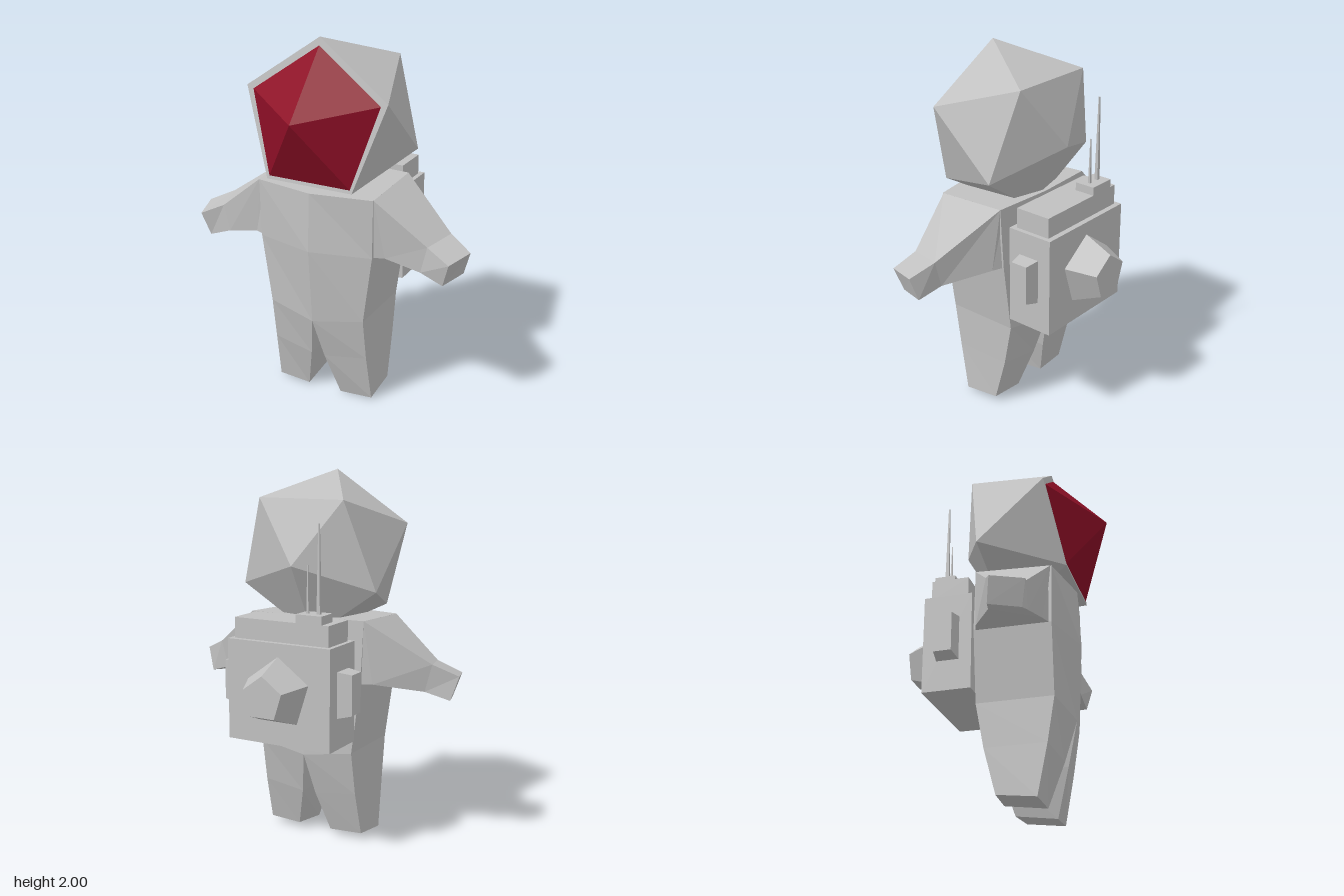
import * as THREE from 'three';
import { ConvexGeometry } from 'three/addons/geometries/ConvexGeometry.js';

const grey = new THREE.MeshStandardMaterial({ color: 0xc0c0c0 });
grey.name = 'suit grey';
const red = new THREE.MeshStandardMaterial({ color: 0x8e0f26 });
red.name = 'visor red';

// Faceted geometry from a list of triangles
function faceted(tris) {
  const g = new THREE.BufferGeometry();
  g.setAttribute('position', new THREE.Float32BufferAttribute(tris.flat(2), 3));
  g.computeVertexNormals();
  return g;
}

// Skin a row of four-cornered cross-sections and close both ends
function loft(sections, side) {
  const s = sections.map((ring) => (side > 0 ? ring : ring.map(([x, y, z]) => [-x, y, z]).reverse()));
  const tris = [];
  const quad = (a, b, c, d) => tris.push([a, b, c], [a, c, d]);
  for (let i = 0; i < s.length - 1; i++) {
    for (let k = 0; k < 4; k++) {
      const n = (k + 1) % 4;
      quad(s[i][k], s[i + 1][k], s[i + 1][n], s[i][n]);
    }
  }
  quad(...s[0]);
  quad(...[...s[s.length - 1]].reverse());
  return faceted(tris);
}

export function createModel() {
  const model = new THREE.Group();
  model.name = 'astronaut';
  const add = (name, geometry, material = grey, parent = model) => {
    const mesh = new THREE.Mesh(geometry, material);
    mesh.name = name;
    parent.add(mesh);
    return mesh;
  };
  const box = (name, parent, x0, x1, y0, y1, z0, z1) => {
    const g = new THREE.BoxGeometry(x1 - x0, y1 - y0, z1 - z0);
    g.translate((x0 + x1) / 2, (y0 + y1) / 2, (z0 + z1) / 2);
    return add(name, g, grey, parent);
  };

  // Half torso running down into a leg: inner front, outer front, outer back, inner back
  const bodySections = [
    [[0, 1.22, 0.37], [0.335, 1.22, 0.31], [0.34, 1.24, -0.1], [0, 1.24, -0.12]],
    [[0, 0.9, 0.385], [0.33, 0.9, 0.305], [0.33, 0.91, -0.11], [0, 0.91, -0.13]],
    [[0, 0.48, 0.35], [0.278, 0.52, 0.3], [0.278, 0.52, -0.11], [0, 0.48, -0.135]],
    [[0.04, 0.25, 0.29], [0.28, 0.28, 0.262], [0.28, 0.28, -0.065], [0.04, 0.25, -0.075]],
    [[0.1, 0, 0.215], [0.288, 0.01, 0.21], [0.285, 0.035, 0], [0.1, 0.03, -0.01]],
  ];
  // Arm: front top, back top, back bottom, front bottom
  const armSections = [
    [[0.3, 1.22, 0.305], [0.3, 1.24, -0.1], [0.3, 0.905, -0.11], [0.3, 0.9, 0.3]],
    [[0.335, 1.22, 0.305], [0.34, 1.24, -0.1], [0.385, 0.905, -0.08], [0.385, 0.9, 0.27]],
    [[0.61, 1.0, 0.25], [0.66, 1.015, 0.06], [0.62, 0.865, 0.06], [0.575, 0.855, 0.25]],
    [[0.74, 0.94, 0.283], [0.79, 0.955, 0.115], [0.75, 0.825, 0.095], [0.7, 0.81, 0.255]],
  ];
  for (const side of [1, -1]) {
    const label = side > 0 ? 'left' : 'right';
    add(label + 'BodyAndLeg', loft(bodySections, side));
    add(label + 'Arm', loft(armSections, side));
  }

  // Helmet: tilted twenty-sided ball, cut flat at the front
  const rimZ = (y) => 0.24 + (2 - y) * 0.176;
  const helmet = [[0, 2, 0.24], [0, 1.52, -0.26], [0, 1.12, -0.03]];
  for (const s of [1, -1]) {
    helmet.push([0.4 * s, 1.72, rimZ(1.72)], [0.245 * s, 1.26, rimZ(1.26)],
      [0.25 * s, 1.86, -0.16], [0.4 * s, 1.39, -0.08]);
  }
  add('helmet', new ConvexGeometry(helmet.map((p) => new THREE.Vector3(...p))));

  // Visor: five-sided pyramid inside the rim
  const tip = [0, 1.63, 0.55];
  const rim = [[0, 1.96], [-0.365, 1.705], [-0.235, 1.275], [0.235, 1.275], [0.365, 1.705]]
    .map(([x, y]) => [x, y, rimZ(y) - 0.002]);
  add('visor', faceted(rim.map((p, i) => [p, rim[(i + 1) % 5], tip])), red);

  // Backpack
  const pack = new THREE.Group();
  pack.name = 'backpack';
  model.add(pack);
  box('packBody', pack, -0.305, 0.305, 0.6, 1.14, -0.395, -0.13);
  box('packLid', pack, -0.28, 0.28, 1.14, 1.25, -0.365, -0.16);
  box('antennaBase', pack, -0.24, -0.09, 1.25, 1.295, -0.365, -0.25);

  // Antennas: a tall one and a short one
  for (const [x, top, r] of [[-0.195, 1.75, 0.014], [-0.13, 1.54, 0.009]]) {
    const g = new THREE.CylinderGeometry(r * 0.35, r, top - 1.29, 4).toNonIndexed();
    g.rotateY(Math.PI / 4).translate(x, (top + 1.29) / 2, -0.31);
    g.computeVertexNormals();
    add('antenna', g, grey, pack);
  }

  // Side boxes, narrowing outwards
  const rect = (x, y0, y1, z0, z1) => [[x, y1, z1], [x, y1, z0], [x, y0, z0], [x, y0, z1]];
  for (const side of [1, -1]) {
    add('sideBox', loft([
      rect(0.3, 0.765, 1.01, -0.32, -0.197),
      rect(0.385, 0.787, 1.0, -0.308, -0.212),
    ], side), grey, pack);
  }

  // Five-sided knob on the back
  const knob = new THREE.CylinderGeometry(0.12, 0.19, 0.155, 5).toNonIndexed();
  knob.rotateX(-Math.PI / 2).translate(0, 0.88, -0.4725);
  knob.computeVertexNormals();
  add('backKnob', knob, grey, pack);

  return model;
}
